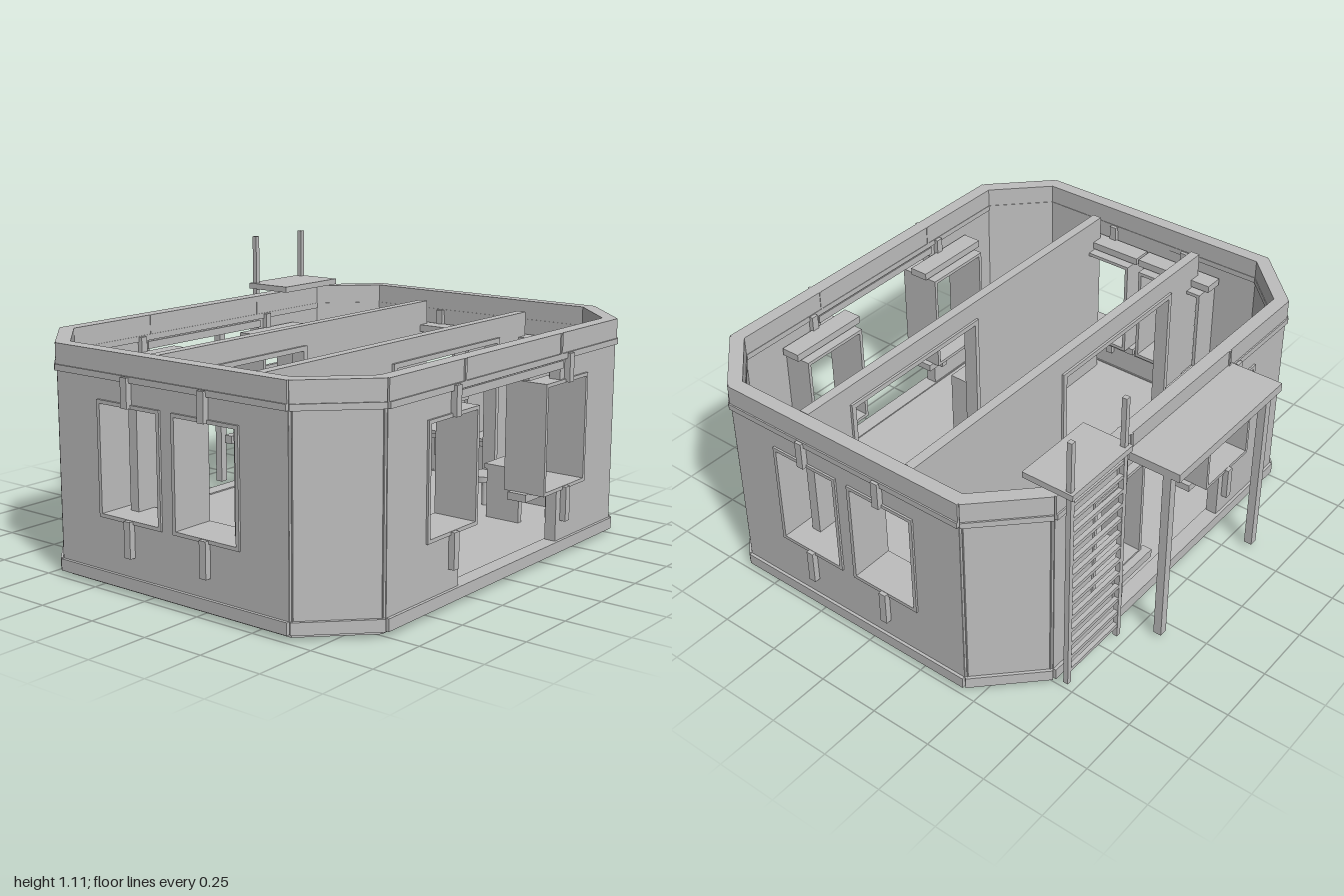
import * as THREE from 'three';

const grey = new THREE.MeshStandardMaterial({ color: 0xbebebe });
const W = 0.98, D = 0.77, CX = 0.75, CZ = 0.54, MID = 0.1; // octagon half sizes, cut corners, z of middle

// Box given by its limits on each axis
function box(parent, name, x0, x1, y0, y1, z0, z1) {
  const mesh = new THREE.Mesh(new THREE.BoxGeometry(x1 - x0, y1 - y0, z1 - z0), grey);
  mesh.position.set((x0 + x1) / 2, (y0 + y1) / 2, (z0 + z1) / 2);
  mesh.name = name;
  parent.add(mesh);
  return mesh;
}

function polygon(points, Type = THREE.Shape) {
  return new Type(points.map(([x, y]) => new THREE.Vector2(x, y)));
}

function rect(x0, x1, y0, y1) {
  return [[x0, y0], [x1, y0], [x1, y1], [x0, y1]];
}

// Slab in the x-y plane with holes, from z0 to z1
function slab(parent, name, outline, holes, z0, z1) {
  const shape = polygon(outline);
  shape.holes = holes.map(h => polygon(h, THREE.Path));
  const geo = new THREE.ExtrudeGeometry(shape, { depth: z1 - z0, bevelEnabled: false });
  geo.translate(0, 0, z0);
  const mesh = new THREE.Mesh(geo, grey);
  mesh.name = name;
  parent.add(mesh);
}

// Window casing, inner ledges and outer bars; outer wall face is local z = 0
function windowUnit(parent, x) {
  const g = new THREE.Group();
  g.name = 'window';
  g.position.x = x;
  slab(g, 'casing', rect(-0.152, 0.152, 0.263, 0.692), [rect(-0.138, 0.138, 0.277, 0.678)], -0.17, 0.004);
  for (const y of [0.235, 0.7]) box(g, 'ledge', -0.175, 0.175, y, y + 0.03, -0.14, -0.06);
  box(g, 'lowerBar', -0.015, 0.015, 0.14, 0.275, -0.07, 0.02);
  box(g, 'upperBar', -0.015, 0.015, 0.68, 0.79, -0.07, 0.02);
  parent.add(g);
}

// One wall panel with its trims, facing local +z
function wall(parent, name, x, z, angle, width, holes, windows) {
  const g = new THREE.Group(), h = width / 2;
  g.name = name;
  g.position.set(x, 0, z);
  g.rotation.y = angle;
  slab(g, 'panel', rect(-h, h, 0.02, 0.865), holes, -0.05, -0.004);
  box(g, 'baseTrim', -h, h, 0.02, 0.065, -0.055, 0.008);
  box(g, 'lip', -h, h, 0.77, 0.793, -0.055, 0.008);
  box(g, 'topTrim', -h, h, 0.793, 0.87, -0.053, 0.002);
  windows.forEach(wx => windowUnit(g, wx));
  parent.add(g);
  return g;
}

function createShell() {
  const shell = new THREE.Group();
  shell.name = 'shell';
  shell.position.z = MID;

  // Floor
  const w = W - 0.03, d = D - 0.03, cx = CX - 0.012, cz = CZ - 0.012;
  const floor = new THREE.Group();
  floor.name = 'floor';
  floor.rotation.x = -Math.PI / 2;
  slab(floor, 'floorSlab', [[w, -cz], [w, cz], [cx, d], [-cx, d], [-w, cz], [-w, -cz], [-cx, -d], [cx, -d]], [], 0, 0.06);
  shell.add(floor);

  // Front and back walls: the doorway runs into a window on either side
  const half = [[0.33, 0.065], [0.33, 0.277], [0.514, 0.277], [0.514, 0.678], [0.33, 0.678], [0.33, 0.735]];
  const doorway = [...half, ...half.map(([x, y]) => [-x, y]).reverse()];
  for (const s of [1, -1]) {
    const g = wall(shell, s > 0 ? 'frontWall' : 'backWall', 0, s * D, s > 0 ? 0 : Math.PI, 2 * CX, [doorway], [-0.376, 0.376]);
    box(g, 'doorHeader', -0.34, 0.34, 0.735, 0.765, -0.055, 0.004);
    for (const x of [-0.32, 0.32]) box(g, 'seam', x - 0.005, x + 0.005, 0.79, 0.87, -0.055, 0.008);
  }

  // Side walls with two windows each
  const sideHoles = [-0.18, 0.18].map(x => rect(x - 0.138, x + 0.138, 0.277, 0.678));
  for (const s of [1, -1])
    wall(shell, s > 0 ? 'leftWall' : 'rightWall', s * W, 0, s * Math.PI / 2, 2 * CZ, sideHoles, [-0.18, 0.18]);

  // Slanted corner walls and the joints beside them
  for (const sx of [1, -1]) for (const sz of [1, -1]) {
    const len = Math.hypot(W - CX, D - CZ);
    wall(shell, 'cornerWall', sx * (W + CX) / 2, sz * (D + CZ) / 2, Math.atan2(sx, sz), len - 0.01, [], []);
    for (const [x, z] of [[W - 0.025, CZ - 0.005], [CX - 0.005, D - 0.025]])
      box(shell, 'joint', sx * x - 0.014, sx * x + 0.014, 0.02, 0.868, sz * z - 0.014, sz * z + 0.014);
  }
  return shell;
}

// Inner partition with a wide framed opening on one side
function partition(parent, z, angle) {
  const g = new THREE.Group();
  g.name = 'partition';
  g.position.z = z;
  g.rotation.y = angle;
  const hole = [[-0.03, 0.06], [0.66, 0.06], [0.66, 0.73], [-0.03, 0.73]];
  slab(g, 'partitionPanel', [[-0.89, 0.05], [-0.03, 0.05], hole[3], hole[2], [0.66, 0.05], [0.89, 0.05], [0.89, 0.83], [-0.89, 0.83]], [], -0.02, 0.02);
  box(g, 'frameSide', -0.05, -0.03, 0.06, 0.73, -0.03, 0.03);
  box(g, 'frameSide', 0.66, 0.68, 0.06, 0.73, -0.03, 0.03);
  box(g, 'frameTop', -0.05, 0.68, 0.73, 0.75, -0.03, 0.03);
  parent.add(g);
}

function desk(parent, x, z) {
  box(parent, 'deskTop', x - 0.15, x + 0.15, 0.26, 0.28, z - 0.085, z + 0.085);
  for (const s of [1, -1])
    box(parent, 'deskSide', x + s * 0.135 - 0.012, x + s * 0.135 + 0.012, 0.06, 0.26, z - 0.075, z + 0.075);
  box(parent, 'screenFoot', x - 0.03, x + 0.03, 0.28, 0.31, z + 0.04, z + 0.06);
  box(parent, 'screen', x - 0.1, x + 0.1, 0.3, 0.42, z + 0.04, z + 0.065);
}

function stool(parent, x, z) {
  for (const [name, r, h, y] of [['stoolSeat', 0.066, 0.025, 0.18], ['stoolLeg', 0.015, 0.11, 0.115]]) {
    const mesh = new THREE.Mesh(new THREE.CylinderGeometry(r, r, h, 24), grey);
    mesh.position.set(x, y, z);
    mesh.name = name;
    parent.add(mesh);
  }
}

function createInterior() {
  const g = new THREE.Group();
  g.name = 'interior';
  partition(g, MID + 0.25, 0);
  partition(g, MID - 0.25, Math.PI);
  for (const [x, z] of [[-0.61, -0.345], [-0.61, 0.545], [0.61, 0.545]]) desk(g, x, z);
  for (const [x, z] of [[-0.61, -0.52], [-0.61, 0.37], [0.61, 0.37]]) stool(g, x, z);
  box(g, 'cabinet', 0.53, 0.69, 0.06, 0.3, -0.42, -0.27);
  box(g, 'counter', -0.49, -0.05, 0.06, 0.41, 0.37, 0.475);
  // Small table with an upright panel
  box(g, 'tableTop', 0.07, 0.31, 0.27, 0.29, -0.12, 0);
  box(g, 'tablePanel', 0.085, 0.295, 0.29, 0.41, -0.012, 0);
  box(g, 'tableLeg', 0.085, 0.11, 0.06, 0.27, -0.11, -0.01);
  box(g, 'tableDrawers', 0.22, 0.295, 0.06, 0.27, -0.11, -0.01);
  return g;
}

function createBackFittings() {
  const g = new THREE.Group();
  g.name = 'backFittings';
  // Canopy over the back door
  box(g, 'canopy', -0.34, 0.34, 0.77, 0.805, -0.89, -0.66);
  for (const x of [-0.32, 0.32]) box(g, 'canopyPost', x - 0.017, x + 0.017, 0.02, 0.77, -0.853, -0.82);
  // Ladder with landing
  for (const x of [0.43, 0.735]) box(g, 'ladderRail', x - 0.01, x + 0.01, 0.02, 1.11, -0.727, -0.707);
  for (let i = 0; i < 13; i++) box(g, 'rung', 0.43, 0.735, 0.07 + i * 0.064, 0.085 + i * 0.064, -0.726, -0.708);
  box(g, 'landing', 0.41, 0.753, 0.883, 0.907, -0.74, -0.53);
  box(g, 'outerLedge', 0.2, 0.41, 0.235, 0.27, -0.705, -0.665);
  return g;
}

export function createModel() {
  const model = new THREE.Group();
  model.name = 'building';
  model.add(createShell(), createInterior(), createBackFittings());
  return model;
}
